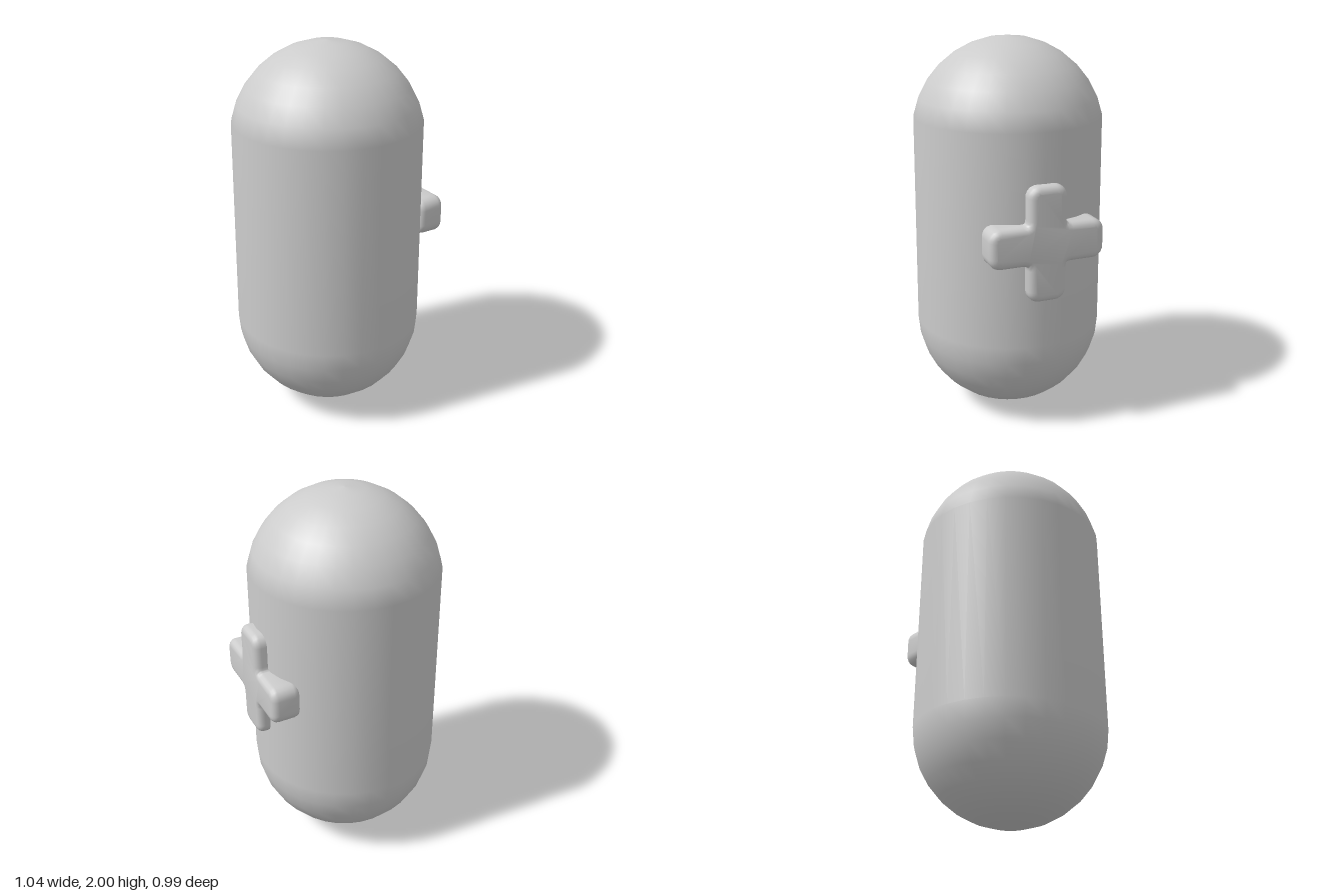
import * as THREE from 'three';
import { toCreasedNormals } from 'three/addons/utils/BufferGeometryUtils.js';

const material = new THREE.MeshStandardMaterial({ color: 0xcccccc });

// Plus-shaped outline with rounded outer tips and filleted inner corners.
function plusShape(reachX, reachY, half, outerR, innerR) {
  const corners = [];
  const quarter = [[reachX, half, outerR], [half, half, innerR], [half, reachY, outerR]];
  for (const [sx, sy] of [[1, 1], [-1, 1], [-1, -1], [1, -1]]) {
    const part = quarter.map(([x, y, r]) => ({ p: new THREE.Vector2(x * sx, y * sy), r }));
    corners.push(...(sx * sy > 0 ? part : part.reverse()));
  }
  const toward = (a, b, d) => b.clone().sub(a).setLength(d).add(a);
  const shape = new THREE.Shape();
  corners.forEach(({ p, r }, i) => {
    const prev = corners[(i + 11) % 12].p, next = corners[(i + 1) % 12].p;
    const a = toward(p, prev, r), b = toward(p, next, r);
    if (i === 0) shape.moveTo(a.x, a.y);
    else shape.lineTo(a.x, a.y);
    shape.quadraticCurveTo(p.x, p.y, b.x, b.y);
  });
  shape.closePath();
  return shape;
}

export function createModel() {
  const model = new THREE.Group();

  // Capsule body: lower hemisphere to its equator, upper cap starting one ring higher.
  const R = 0.497, profile = [];
  for (let i = 0; i <= 16; i++) {
    if (i === 9 - 1 + 0.5) continue;
    const a = (i / 16) * Math.PI;
    const y = i <= 8 ? 0.5 - 0.495 * Math.cos(a) : 1.5 - 0.5 * Math.cos(a);
    profile.push(new THREE.Vector2(i % 16 ? R * Math.sin(a) : 0, y));
  }
  const body = new THREE.Mesh(new THREE.LatheGeometry(profile, 32), material);
  body.name = 'capsuleBody';
  body.position.x = -0.025;
  model.add(body);

  // Rounded plus emblem set into the left side.
  const bevel = 0.035, thickness = 0.155;
  const plus = new THREE.ExtrudeGeometry(
    plusShape(0.3 - bevel, 0.295 - bevel, 0.1 - bevel, 0.025, 0.06),
    {
      depth: thickness - 2 * bevel, curveSegments: 5,
      bevelEnabled: true, bevelSize: bevel, bevelThickness: bevel, bevelSegments: 4,
    },
  );
  plus.translate(0, 0, bevel);
  plus.rotateY(Math.PI / 2);
  const emblem = new THREE.Mesh(toCreasedNormals(plus, 0.8), material);
  emblem.name = 'plusEmblem';
  emblem.position.set(0.365, 1.055, 0);
  model.add(emblem);

  return model;
}
